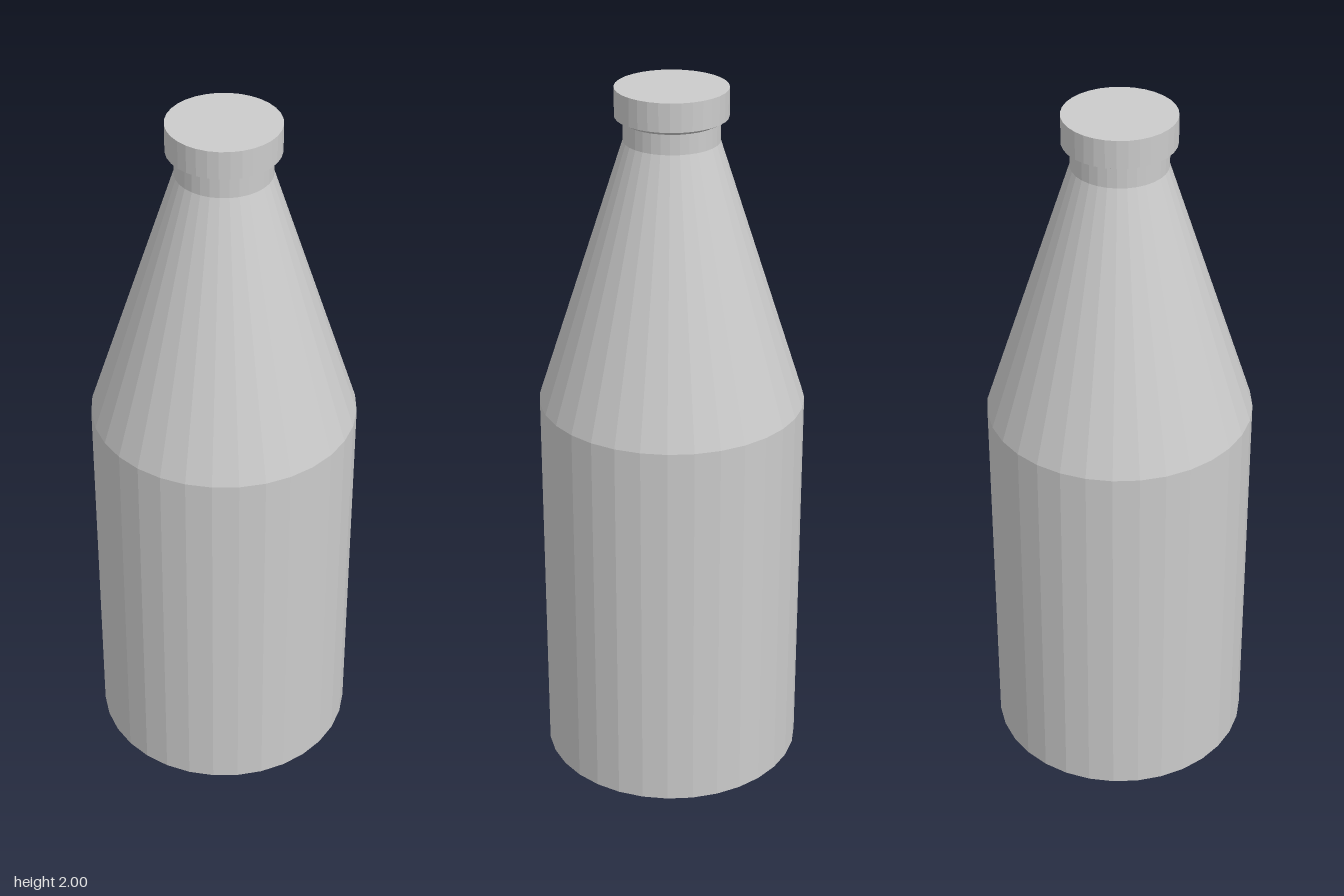
import * as THREE from 'three';

const SIDES = 32;

export function createModel() {
  const bottle = new THREE.Group();
  bottle.name = 'bottle';
  const material = new THREE.MeshStandardMaterial({ color: 0xcccccc, flatShading: true });

  // Turn a [radius, height] profile, listed from bottom to top, into a faceted part
  function turned(name, profile) {
    const points = profile.map(([r, y]) => new THREE.Vector2(r, y));
    const mesh = new THREE.Mesh(new THREE.LatheGeometry(points, SIDES), material);
    mesh.name = name;
    bottle.add(mesh);
  }

  // Straight body with a closed base
  turned('body', [[0, 0], [0.37, 0], [0.37, 1.11]]);
  // Long tapering shoulder
  turned('shoulder', [[0.37, 1.11], [0.13, 1.855]]);
  // Short straight neck
  turned('neck', [[0.13, 1.855], [0.13, 1.912]]);
  // Cap with a slightly sloped underside and a flat top
  turned('cap', [[0.13, 1.91], [0.152, 1.922], [0.152, 2], [0, 2]]);

  return bottle;
}
